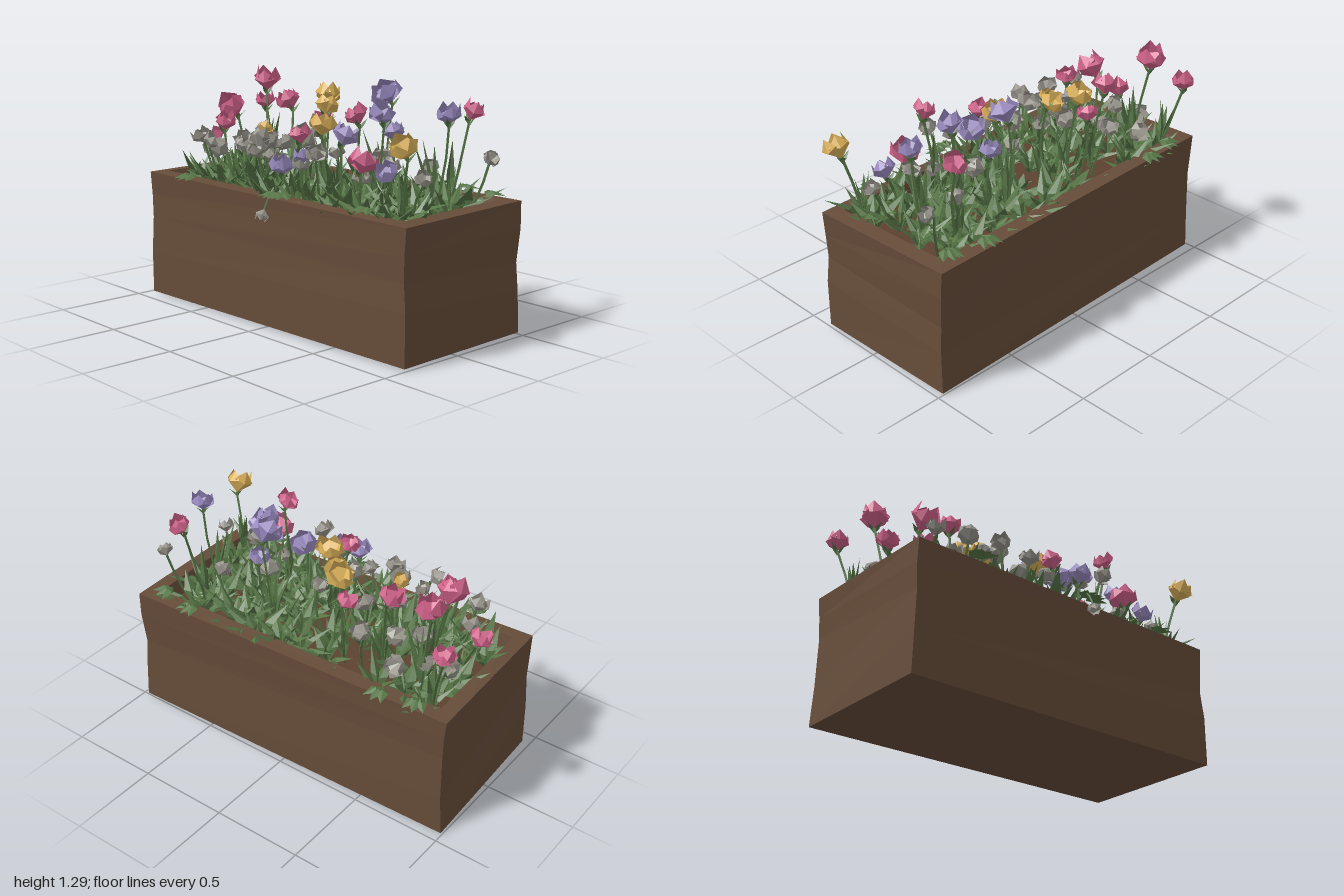
import * as THREE from 'three';
import { mergeGeometries } from 'three/addons/utils/BufferGeometryUtils.js';

const paint = (name, color) => {
  const m = new THREE.MeshStandardMaterial({ color, flatShading: true, side: THREE.DoubleSide });
  m.name = name;
  return m;
};
const mats = {
  wood: paint('wood', 0x664c39),
  soil: paint('soil', 0x5c422f),
  green: paint('leaf green', 0x567546),
  pink: paint('pink', 0xd0628a),
  purple: paint('purple', 0x9a8bc0),
  yellow: paint('yellow', 0xdcb25a),
  grey: paint('grey white', 0x96938a),
};

// Seeded random numbers
let seed = 7;
const rnd = (a = 0, b = 1) => {
  seed = (seed * 16807) % 2147483647;
  return a + (b - a) * (seed / 2147483647);
};

// Faceted blade: base, two sides, ridge, tip
function blade(side, ridge, tip) {
  const b = [0, 0, 0], l = [-side[0], side[1], side[2]];
  const g = new THREE.BufferGeometry();
  const tris = [b, ridge, l, b, side, ridge, l, ridge, tip, ridge, side, tip];
  g.setAttribute('position', new THREE.Float32BufferAttribute(tris.flat(), 3));
  g.computeVertexNormals();
  return g;
}
const leafShape = blade([0.5, 0.5, 0.14], [0, 0.45, 0.02], [0, 1, 0.4]);
const petalShape = blade([0.42, 0.6, 0.38], [0, 0.45, 0.55], [0, 1.05, 0.4]);

const place = (g, pos, yaw, pitch, scale) => g.clone().applyMatrix4(new THREE.Matrix4().compose(
  new THREE.Vector3(...pos),
  new THREE.Quaternion().setFromEuler(new THREE.Euler(pitch, yaw, 0, 'YXZ')),
  new THREE.Vector3(...scale)));

// Cup of five uneven petals
const bloomShape = () => mergeGeometries(Array.from({ length: 5 }, (_, i) =>
  place(petalShape, [0, 0, 0], i * Math.PI * 0.4 + rnd(-0.15, 0.15), rnd(-0.1, 0.25),
    [1.1, rnd(0.85, 1.1), 1])));

// Slightly skewed planter from stacked four-corner rings
function planter() {
  const rings = [
    [[-0.96, 0.01, 0.42], [0.99, 0.01, 0.36], [0.97, 0.01, -0.5], [-0.99, 0, -0.44]],
    [[-0.955, 0.25, 0.425], [0.99, 0.28, 0.36], [0.965, 0.24, -0.49], [-0.975, 0.22, -0.44]],
    [[-0.945, 0.45, 0.42], [0.975, 0.42, 0.355], [0.955, 0.38, -0.485], [-0.97, 0.48, -0.435]],
    [[-0.95, 0.58, 0.42], [0.98, 0.55, 0.36], [0.965, 0.56, -0.5], [-0.975, 0.6, -0.44]],
    [[-0.95, 0.71, 0.43], [0.99, 0.69, 0.36], [0.96, 0.7, -0.505], [-0.985, 0.71, -0.44]],
    [[-0.88, 0.715, 0.35], [0.905, 0.7, 0.29], [0.88, 0.705, -0.41], [-0.9, 0.71, -0.36]],
    [[-0.84, 0.6, 0.33], [0.87, 0.6, 0.27], [0.85, 0.6, -0.38], [-0.86, 0.6, -0.34]],
  ];
  const idx = [0, 2, 1, 0, 3, 2];
  for (let r = 0; r < rings.length - 1; r++) {
    for (let i = 0; i < 4; i++) {
      const a = r * 4 + i, b = r * 4 + (i + 1) % 4;
      idx.push(a, b, b + 4, a, b + 4, a + 4);
    }
  }
  const g = new THREE.BufferGeometry();
  g.setAttribute('position', new THREE.Float32BufferAttribute(rings.flat(2), 3));
  g.setIndex(idx);
  g.computeVertexNormals();
  return g;
}

// Flowers: colour, head x, y, z, size
const flowers = [
  ['pink', -0.92, 1.0, -0.4, 0.1], ['pink', -0.77, 1.13, -0.28, 0.13],
  ['pink', -0.86, 0.85, 0, 0.1], ['pink', -0.68, 1.02, 0.01, 0.14],
  ['pink', -0.6, 0.96, 0.17, 0.1], ['pink', -0.47, 1.06, -0.22, 0.11],
  ['pink', -0.26, 1.0, -0.3, 0.09], ['pink', 0.07, 0.96, 0.2, 0.1],
  ['pink', 0.55, 0.87, 0.23, 0.12], ['pink', 0.47, 1.1, 0.16, 0.1],
  ['pink', 0.73, 1.1, -0.36, 0.1],
  ['yellow', -0.22, 1.09, -0.25, 0.12], ['yellow', -0.11, 1.07, -0.14, 0.1],
  ['yellow', 0.07, 0.99, 0.05, 0.12], ['yellow', 0.91, 1.0, 0.27, 0.12],
  ['yellow', -0.35, 0.96, 0.1, 0.07],
  ['purple', 0.28, 1.16, -0.26, 0.14], ['purple', 0.45, 1.08, -0.03, 0.11],
  ['purple', 0.8, 1.11, -0.13, 0.1], ['purple', 0.25, 0.96, 0.08, 0.12],
  ['purple', 0.1, 0.82, 0.35, 0.11], ['purple', 0.18, 0.88, 0.28, 0.08],
  ['purple', 0.36, 0.97, -0.2, 0.1], ['purple', 0.71, 0.85, 0.17, 0.1],
];
// Low pale blooms: x, z
const pale = [
  [-0.82, -0.13], [-0.75, 0.12], [-0.72, 0.22], [-0.62, -0.3], [-0.64, -0.12], [-0.57, 0.3],
  [-0.52, 0.08], [-0.47, -0.2], [-0.43, 0.22], [-0.38, 0.32], [-0.3, -0.13], [-0.3, 0.08],
  [-0.28, 0.2], [-0.17, 0.28], [-0.07, 0.07], [-0.06, 0.25], [-0.4, -0.3], [-0.75, -0.22],
  [0.16, 0.28], [0.3, 0.3], [0.34, -0.15], [0.43, 0.12], [0.62, 0.1], [0.85, 0.1], [0.87, -0.36],
  [0.6, -0.25], [-0.36, 0.0], [0.08, -0.05],
];
for (const [x, z] of pale) flowers.push(['grey', x, rnd(0.78, 0.92), z, rnd(0.07, 0.1)]);

function makeFlower([color, x, y, z, size]) {
  const flower = new THREE.Group();
  flower.name = color + 'Flower';
  const head = new THREE.Vector3(x, y, z);
  const root = new THREE.Vector3(x * 0.9, 0.6, z * 0.8);
  const middle = root.clone().lerp(head, 0.55).add(new THREE.Vector3(rnd(-0.02, 0.02), 0, rnd(-0.02, 0.02)));
  const path = new THREE.CatmullRomCurve3([root, middle, head]);
  const stem = new THREE.Mesh(new THREE.TubeGeometry(path, 3, 0.008, 4), mats.green);
  stem.name = 'stem';
  const bloom = new THREE.Mesh(bloomShape(), mats[color]);
  bloom.name = 'bloom';
  bloom.position.copy(head);
  bloom.scale.setScalar(size);
  const lean = color === 'grey' ? 0.9 : 0.5;
  bloom.rotation.set(rnd(-lean, lean), rnd(0, 6.28), rnd(-lean, lean));
  flower.add(stem, bloom);
  return flower;
}

function foliage() {
  const parts = [];
  // Arching tufts over the soil, sparse behind the middle
  for (let i = 0; i < 15; i++) {
    for (let j = 0; j < 5; j++) {
      const x = -0.79 + i * 0.112 + rnd(-0.05, 0.05), z = -0.31 + j * 0.145 + rnd(-0.05, 0.05);
      if (x > -0.5 && x < 0.1 && z < 0.02 && rnd() < 0.65) continue;
      for (let k = 0; k < 8; k++) {
        const length = rnd(0.13, 0.25), width = rnd(0.035, 0.075);
        parts.push(place(leafShape, [x, 0.61, z], k * 0.8 + rnd(0, 0.7), rnd(0, 0.75), [width, length, length]));
      }
    }
  }
  // Upright leaves along the taller stems
  for (const [color, x, y, z] of flowers) {
    if (color === 'grey') continue;
    for (let k = 0; k < 4; k++) {
      const length = (y - 0.62) * rnd(0.45, 0.85);
      parts.push(place(leafShape, [x * 0.91, 0.62, z * 0.82], rnd(0, 6.28), rnd(-0.2, 0.1), [0.045, length, length * 0.5]));
    }
    for (let k = 0; k < 3; k++) {
      parts.push(place(leafShape, [x, y - 0.03, z], k * 2.1 + rnd(), 0.25, [0.03, 0.07, 0.07]));
    }
  }
  // Leaves spilling over the rim
  const spill = [[-0.58, 0.4, 0], [-0.62, 0.38, 0.3], [0.1, 0.38, 0.1], [0.14, 0.37, 0.5], [0.68, 0.3, 0.2],
    [-0.6, -0.41, 3.1], [-0.78, -0.37, 3.4], [0.62, -0.42, 3], [0.82, -0.38, 2.8]];
  for (const [x, z, yaw] of spill) {
    for (const turn of [-0.5, 0, 0.5]) {
      parts.push(place(leafShape, [x, 0.73, z], yaw + turn, 1.15, [0.06, 0.1, 0.14]));
    }
  }
  return mergeGeometries(parts);
}

export function createModel() {
  seed = 7;
  const model = new THREE.Group();
  model.name = 'flowerPlanter';
  const add = (name, geometry, material) => {
    const mesh = new THREE.Mesh(geometry, material);
    mesh.name = name;
    model.add(mesh);
    return mesh;
  };
  add('planterBox', planter(), mats.wood);

  // Soil bed
  const soil = add('soil', new THREE.PlaneGeometry(1.76, 0.68, 8, 3).rotateX(-Math.PI / 2), mats.soil);
  const p = soil.geometry.attributes.position;
  for (let i = 0; i < p.count; i++) {
    p.setY(i, 0.62 + rnd(-0.012, 0.012));
    p.setZ(i, p.getZ(i) - 0.035 - p.getX(i) * 0.03);
  }

  add('foliage', foliage(), mats.green);
  for (const f of flowers) model.add(makeFlower(f));

  // Small bloom hanging over the front
  const hanging = add('hangingBloom', bloomShape(), mats.grey);
  hanging.position.set(0.1, 0.66, 0.47);
  hanging.scale.setScalar(0.06);
  hanging.rotation.x = 2.7;
  const hangingStem = new THREE.CatmullRomCurve3([[0.1, 0.62, 0.3], [0.1, 0.76, 0.41], [0.1, 0.66, 0.47]]
    .map(v => new THREE.Vector3(...v)));
  add('hangingStem', new THREE.TubeGeometry(hangingStem, 5, 0.006, 4), mats.green);
  return model;
}
